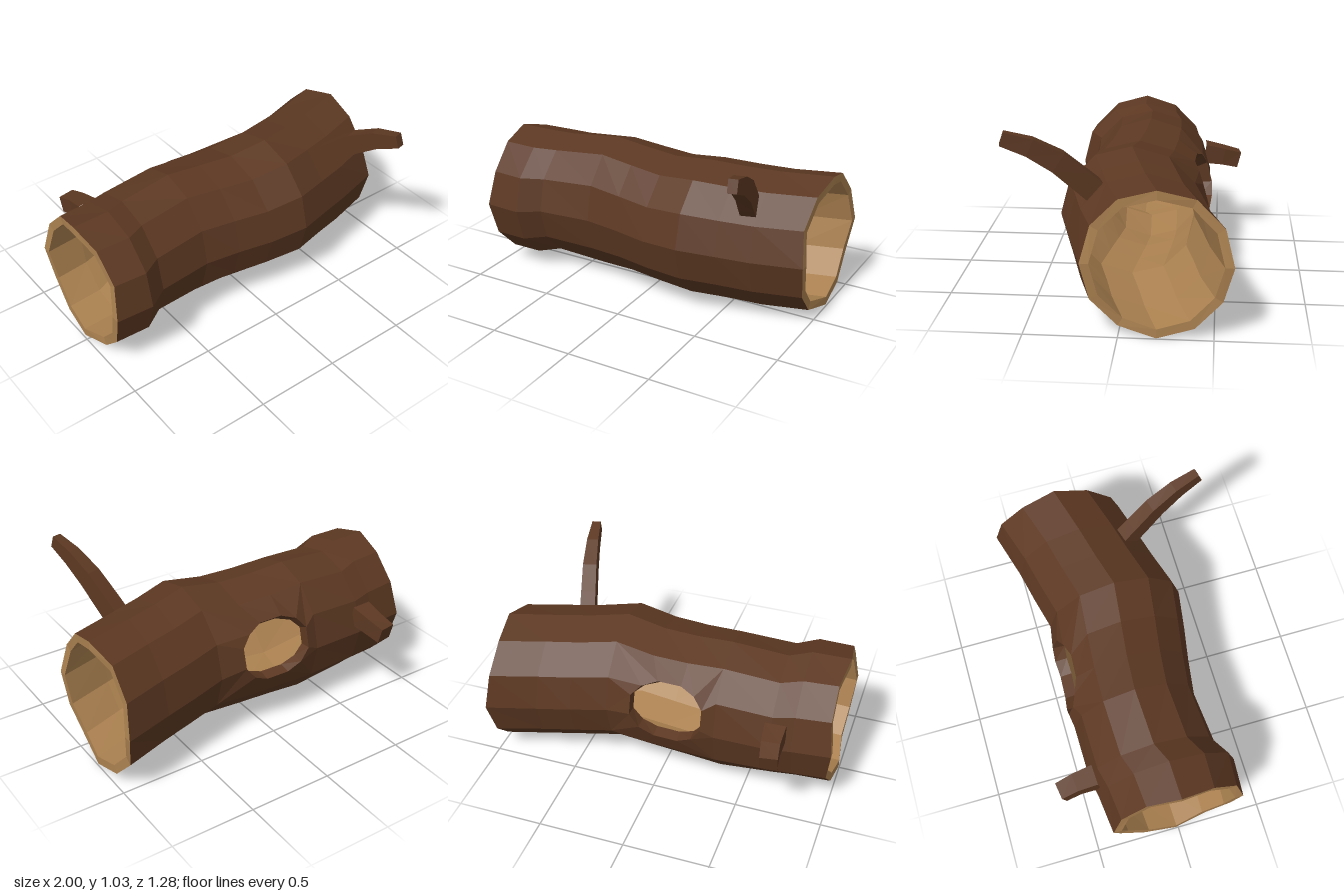
import * as THREE from 'three';

const SIDES = 12;
// log cross-sections: x, centre y, centre z, vertical radius, depth radius
const SECTIONS = [
  [-0.985, 0.42, -0.015, 0.403, 0.385], [-0.78, 0.42, -0.02, 0.4, 0.405],
  [-0.66, 0.422, -0.07, 0.38, 0.38], [-0.34, 0.422, -0.085, 0.408, 0.368],
  [-0.13, 0.42, -0.07, 0.39, 0.385], [0.08, 0.415, -0.045, 0.385, 0.4],
  [0.31, 0.43, -0.02, 0.4, 0.41], [0.52, 0.415, -0.075, 0.395, 0.405],
  [0.71, 0.403, -0.12, 0.398, 0.4], [0.98, 0.4, -0.2, 0.4, 0.4],
];
const LAST = SECTIONS.length - 1;
const INNER = 0.875;
const LIP = 1.06;

// small repeatable unevenness in -1..1
const wobble = (i, j) => Math.sin(i * 12.9 + j * 7.3 + 1.7);

// corner of the log wall; j = 0 lies 30 degrees below the middle of the back
function corner(i, j, scale) {
  const [x, cy, cz, ry, rz] = SECTIONS[i];
  const k = j % SIDES;
  const a = ((k - 1) / SIDES) * Math.PI * 2;
  const s = scale * (1 + 0.01 * wobble(i, k));
  const end = i === 0 || i === LAST ? 0.016 * wobble(i + 3, k * 2) : 0;
  return new THREE.Vector3(x + end, cy + ry * s * Math.sin(a), cz - rz * s * Math.cos(a));
}

// point between the corners, for fractional i and j
function wallPoint(u, v, scale) {
  const i = Math.floor(u), j = Math.floor(v);
  const low = corner(i, j, scale).lerp(corner(i + 1, j, scale), u - i);
  const high = corner(i, j + 1, scale).lerp(corner(i + 1, j + 1, scale), u - i);
  return low.lerp(high, v - j);
}

function quad(out, a, b, c, d, flip = false) {
  const list = flip ? [a, c, b, a, d, c] : [a, b, c, a, c, d];
  for (const p of list) out.push(p.x, p.y, p.z);
}

function makeMesh(name, positions, color) {
  const geometry = new THREE.BufferGeometry();
  geometry.setAttribute('position', new THREE.Float32BufferAttribute(positions, 3));
  geometry.computeVertexNormals();
  const mesh = new THREE.Mesh(geometry, new THREE.MeshStandardMaterial({ color, flatShading: true }));
  mesh.name = name;
  return mesh;
}

// matching loops round the knot hole: patch border and hole edge, in (i, j) units
const HOLE = [];
for (let side = 0; side < 4; side++) {
  for (let s = 0; s < 3; s++) {
    const p = new THREE.Vector2(s - 1.5, -1.5).rotateAround(new THREE.Vector2(), side * Math.PI / 2);
    const edge = p.clone().normalize();
    HOLE.push({
      border: [Math.round(p.x + 4.5), Math.round(p.y + 1.5)],
      edge: [edge.x * 1.05 + 4.35, edge.y * 0.9 + 1.47],
    });
  }
}

// one skin of the log, with the knot hole left open
function skin(scale, edgeScale, flip) {
  const out = [];
  for (let i = 0; i < LAST; i++) {
    for (let j = 0; j < SIDES; j++) {
      if (i >= 3 && i < 6 && j < 3) continue;
      quad(out, corner(i, j, scale), corner(i, j + 1, scale),
        corner(i + 1, j + 1, scale), corner(i + 1, j, scale), flip);
    }
  }
  HOLE.forEach((h, k) => {
    const n = HOLE[(k + 1) % HOLE.length];
    quad(out, corner(...h.border, scale), wallPoint(...h.edge, edgeScale),
      wallPoint(...n.edge, edgeScale), corner(...n.border, scale), flip);
  });
  return out;
}

// four-sided branch swept along a path, with a radius per point
function branch(path, radii, widthRatio) {
  const points = path.map((p) => new THREE.Vector3(...p));
  const up = new THREE.Vector3(0, 1, 0);
  const rings = points.map((p, i) => {
    const t = points[Math.min(i + 1, points.length - 1)].clone()
      .sub(points[Math.max(i - 1, 0)]).normalize();
    const across = t.clone().cross(up).normalize();
    const rise = across.clone().cross(t);
    return [0, 1, 2, 3].map((k) => {
      const a = (k + 0.5) * Math.PI / 2;
      return p.clone().addScaledVector(across, radii[i] * widthRatio * Math.cos(a))
        .addScaledVector(rise, radii[i] * Math.sin(a));
    });
  });
  const out = [];
  for (let i = 0; i < rings.length - 1; i++) {
    for (let k = 0; k < 4; k++) {
      const n = (k + 1) % 4;
      quad(out, rings[i][k], rings[i + 1][k], rings[i + 1][n], rings[i][n]);
    }
  }
  // tip cap
  quad(out, ...rings[rings.length - 1], true);
  return out;
}

export function createModel() {
  const group = new THREE.Group();
  group.name = 'hollowLog';
  const bark = 0x5c3822, wood = 0xab8150;

  group.add(makeMesh('bark', skin(1, LIP, false), bark));
  group.add(makeMesh('hollowInside', skin(INNER, INNER, true), wood));

  // cut faces at both ends
  const ends = [];
  for (const i of [0, LAST]) {
    for (let j = 0; j < SIDES; j++) {
      quad(ends, corner(i, j, 1), corner(i, j + 1, 1),
        corner(i, j + 1, INNER), corner(i, j, INNER), i === 0);
    }
  }
  group.add(makeMesh('cutEnds', ends, wood));

  // wall thickness round the knot hole
  const rim = [];
  HOLE.forEach((h, k) => {
    const n = HOLE[(k + 1) % HOLE.length];
    quad(rim, wallPoint(...h.edge, LIP), wallPoint(...h.edge, INNER),
      wallPoint(...n.edge, INNER), wallPoint(...n.edge, LIP));
  });
  group.add(makeMesh('knotHoleRim', rim, bark));

  group.add(makeMesh('longBranch', branch(
    [[0.645, 0.68, 0.15], [0.665, 0.745, 0.22], [0.7, 0.855, 0.34], [0.735, 0.94, 0.48], [0.765, 0.99, 0.62]],
    [0.09, 0.088, 0.083, 0.07, 0.053], 0.7), bark));
  group.add(makeMesh('shortBranch', branch(
    [[-0.685, 0.53, -0.41], [-0.69, 0.51, -0.53], [-0.705, 0.485, -0.627]],
    [0.085, 0.075, 0.07], 1), bark));
  return group;
}
